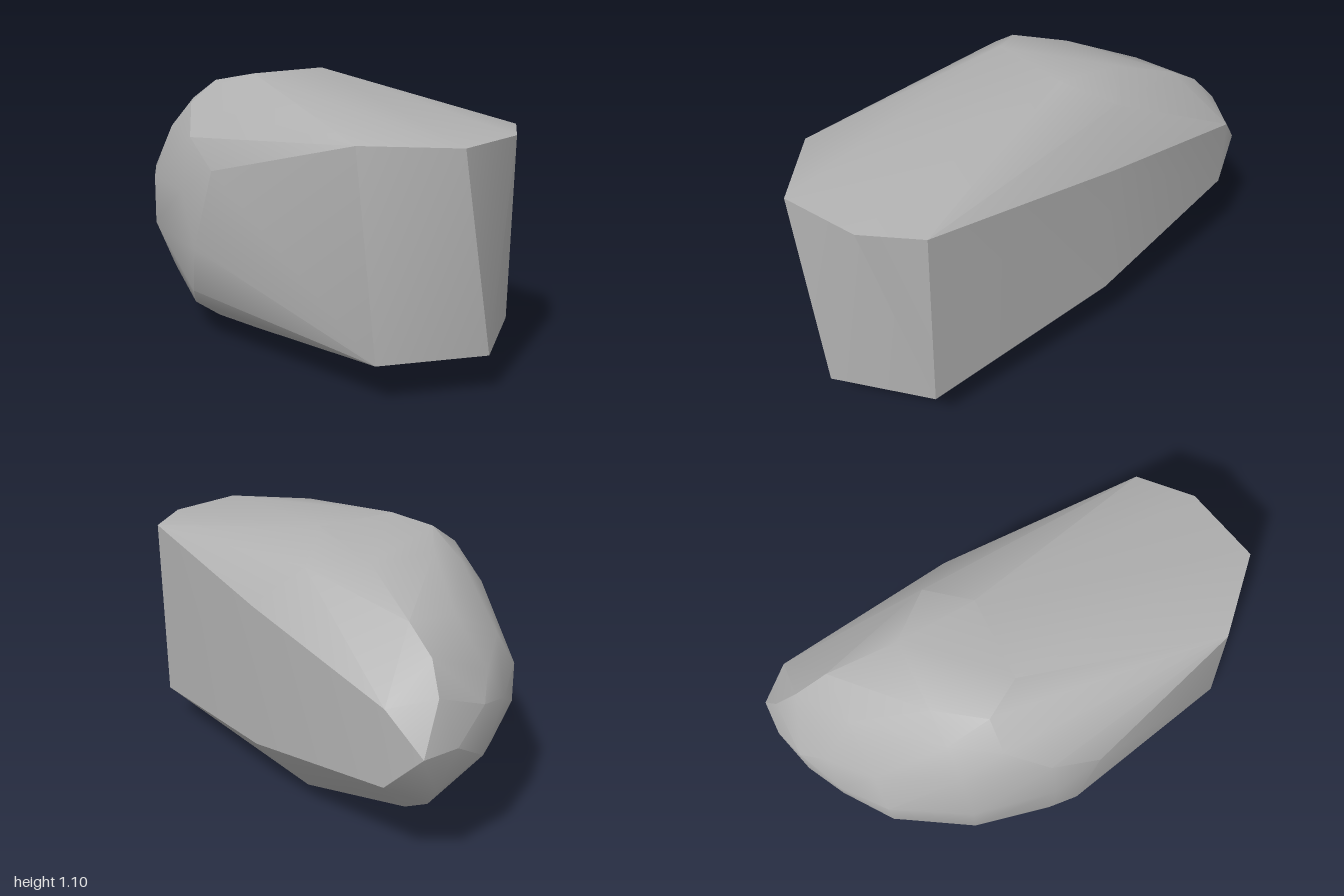
import * as THREE from 'three';
import { ConvexGeometry } from 'three/addons/geometries/ConvexGeometry.js';
import { toCreasedNormals } from 'three/addons/utils/BufferGeometryUtils.js';

const MID = 0.55; // height of the horizontal symmetry plane

// Cross-sections of the rounded end: x, then [half height, z] pairs from back to front
const sections = [
  [-1.0, [[0, -0.4], [0, -0.25]]],
  [-0.95, [[0.18, -0.3], [0.1, -0.09]]],
  [-0.86, [[0.15, -0.46], [0.285, -0.26], [0.17, 0], [0.04, 0.09]]],
  [-0.72, [[0.37, -0.25], [0.35, -0.04], [0.23, 0.17], [0.08, 0.27]]],
  [-0.43, [[0.49, -0.2], [0.48, 0.1], [0.42, 0.24], [0.31, 0.35], [0.1, 0.44]]],
  [-0.25, [[0.46, -0.37], [0.515, 0.24], [0.43, 0.36]]],
  [-0.1, [[0.295, -0.515], [0.55, -0.2], [0.55, 0.15], [0.32, 0.46], [0.11, 0.505]]],
];

// Cut-off end: [x, z] outlines of its upper and lower edges
const upperEdge = [[0.74, 0.31], [1, 0.04], [0.93, -0.29], [0.76, -0.475]];
const lowerEdge = [[0.83, 0.28], [1, -0.12], [0.76, -0.47]];

export function createModel() {
  const group = new THREE.Group();
  const stone = new THREE.MeshStandardMaterial({ color: 0xb0b0b0 });
  stone.name = 'stone grey';

  const points = [];
  for (const [x, ring] of sections) {
    for (const [h, z] of ring) {
      points.push(new THREE.Vector3(x, MID + h, z));
      if (h > 0) points.push(new THREE.Vector3(x, MID - h, z));
    }
  }
  for (const [x, z] of upperEdge) points.push(new THREE.Vector3(x, 0.945, z));
  for (const [x, z] of lowerEdge) points.push(new THREE.Vector3(x, 0.16, z));

  // Front bulge and the upper corner of the flat front facet
  points.push(new THREE.Vector3(0, 0.44, 0.513), new THREE.Vector3(0.1, 0.77, 0.49));

  // Smooth dome with sharp facet borders
  const boulder = new THREE.Mesh(toCreasedNormals(new ConvexGeometry(points), 0.52), stone);
  boulder.name = 'boulder';
  group.add(boulder);
  return group;
}
